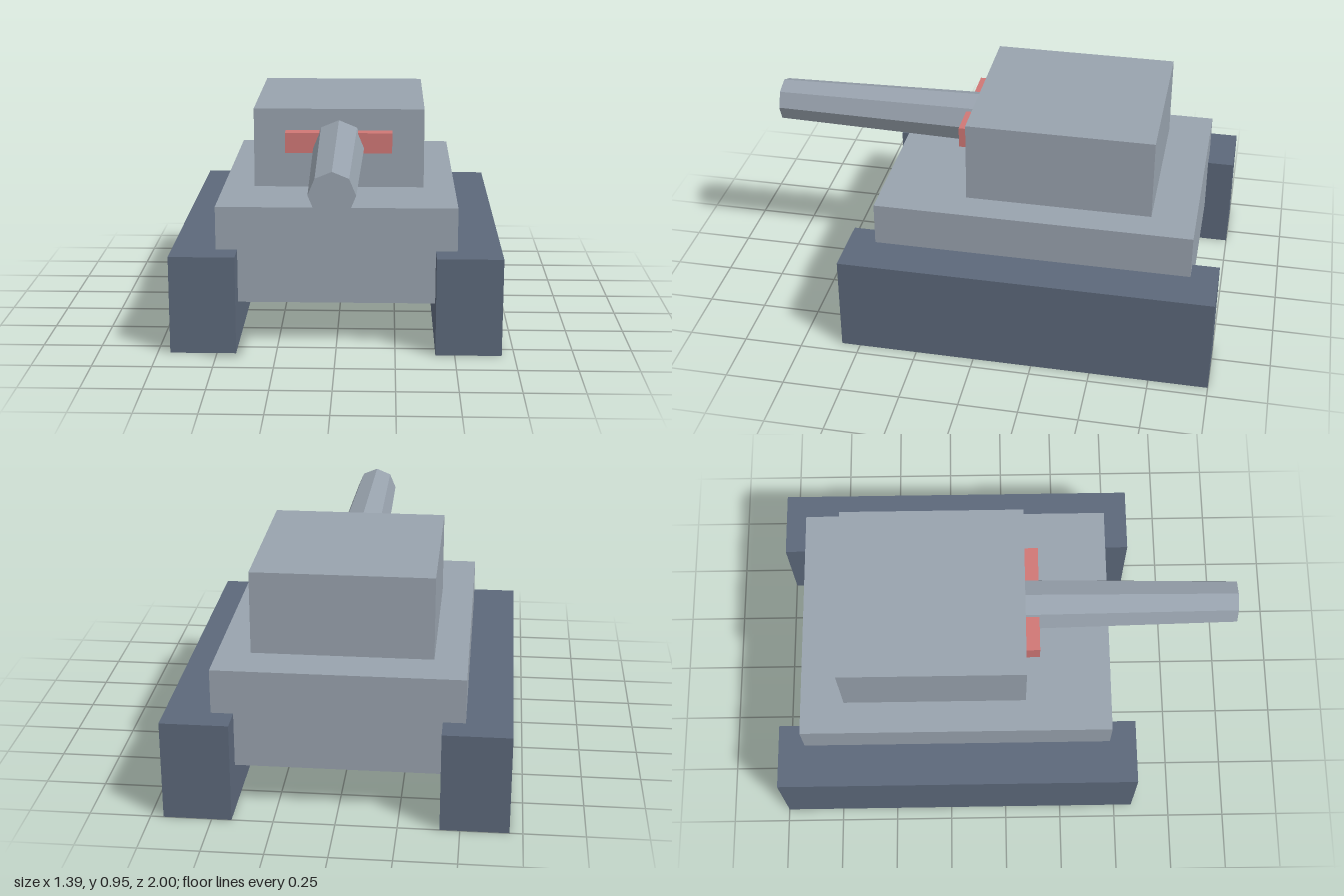
import * as THREE from 'three';

export function createModel() {
  const model = new THREE.Group();
  model.name = 'tank';

  const armour = new THREE.MeshStandardMaterial({ color: 0x98a2ad });
  armour.name = 'grey armour';
  const track = new THREE.MeshStandardMaterial({ color: 0x5c687a });
  track.name = 'dark slate';
  const red = new THREE.MeshStandardMaterial({ color: 0xcf7775 });
  red.name = 'muted red';

  // Adds a box given by its limits on each axis
  function addBox(name, material, [x0, x1], [y0, y1], [z0, z1]) {
    const mesh = new THREE.Mesh(new THREE.BoxGeometry(x1 - x0, y1 - y0, z1 - z0), material);
    mesh.position.set((x0 + x1) / 2, (y0 + y1) / 2, (z0 + z1) / 2);
    mesh.name = name;
    model.add(mesh);
  }

  // Hull and turret
  addBox('hull', armour, [-0.51, 0.51], [0.19, 0.606], [-0.885, 0.463]);
  addBox('turret', armour, [-0.373, 0.373], [0.606, 0.955], [-0.698, 0.092]);

  // Tracks, mirrored
  addBox('leftTrack', track, [0.419, 0.697], [0, 0.42], [-1, 0.58]);
  addBox('rightTrack', track, [-0.697, -0.419], [0, 0.42], [-1, 0.58]);

  // Red bar across the gun mount
  addBox('gunMountBar', red, [-0.233, 0.233], [0.77, 0.86], [0.092, 0.152]);

  // Tapered eight-sided barrel pointing forward
  const barrelGeometry = new THREE.CylinderGeometry(0.093, 0.112, 0.908, 8).toNonIndexed();
  barrelGeometry.rotateX(Math.PI / 2);
  barrelGeometry.computeVertexNormals();
  const barrel = new THREE.Mesh(barrelGeometry, armour);
  barrel.position.set(0, 0.793, 0.546);
  barrel.name = 'barrel';
  model.add(barrel);

  return model;
}
